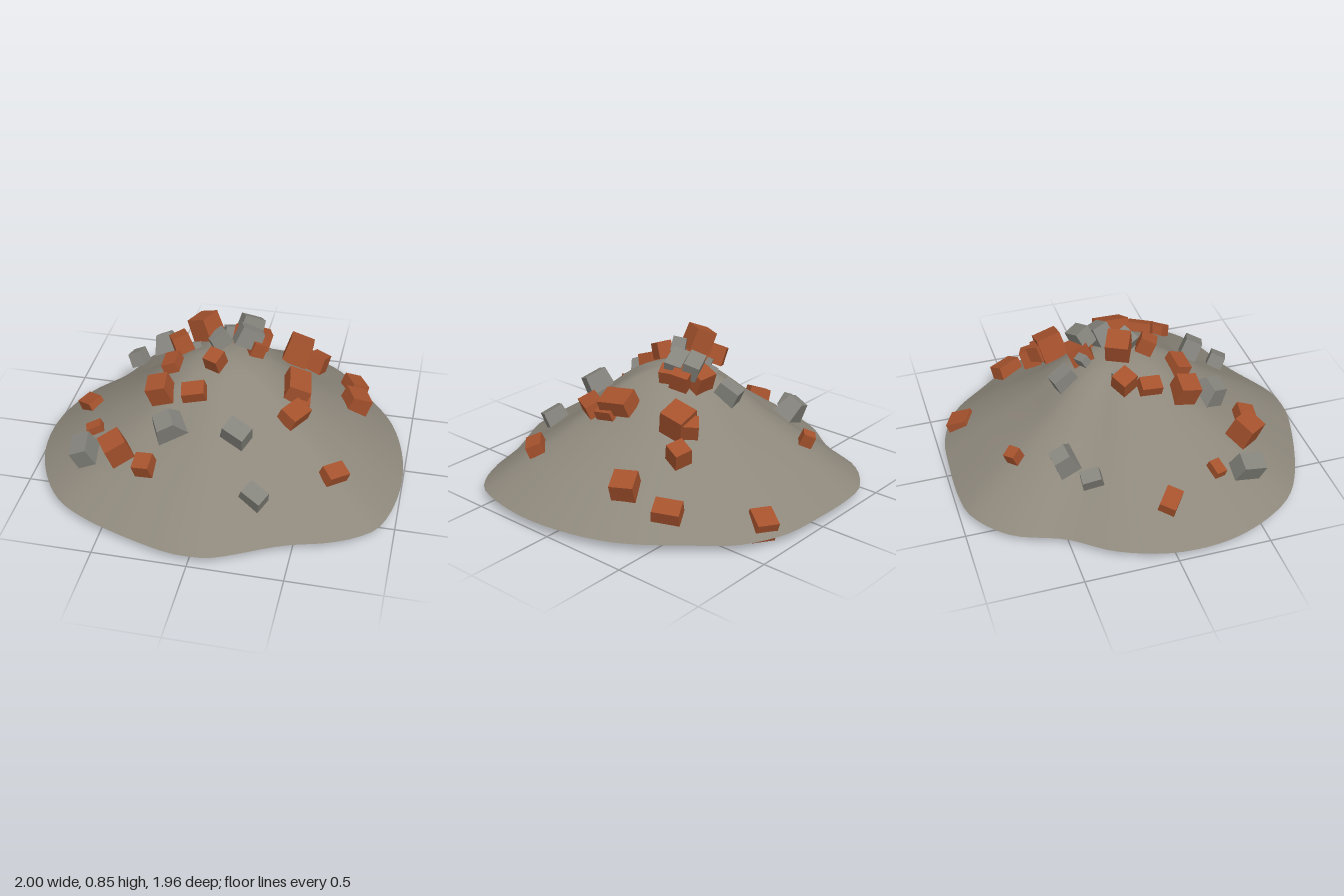
import * as THREE from 'three';

const mat = (name, color) => {
  const m = new THREE.MeshStandardMaterial({ color });
  m.name = name;
  return m;
};

// Footprint of the heap as [x, z] points
const OUTLINE = [
  [0, .98], [.12, .965], [.46, .8], [.68, .73], [.83, .65], [.925, .55], [1, .14], [.9, -.33],
  [.65, -.68], [.5, -.845], [.26, -.957], [.02, -.98], [-.26, -.98], [-.41, -.95], [-.61, -.79],
  [-.73, -.52], [-.89, -.3], [-.99, 0], [-.97, .33], [-.8, .66], [-.61, .8], [-.13, .968],
];
// Height at equal steps from the peak to the rim
const PROFILE = [.64, .63, .6, .545, .47, .39, .318, .25, .185, .118, .05];
const SEGMENTS = 96, RINGS = 30;

// Debris lists: x, y, z, longest side, turn about the vertical
const CUBES = [
  [.31, .085, -.84, .125, -.5], [-.29, .30, -.68, .07, .7], [.68, .24, -.25, .13, .45],
  [.44, .385, -.40, .10, -.3], [.34, .51, -.31, .14, .05], [.33, .49, -.38, .09, .7],
  [-.485, .335, .545, .13, .6], [-.315, .285, .60, .10, -.1], [-.31, .54, .26, .12, .05],
  [-.04, .68, .13, .09, -.4], [-.13, .765, -.055, .125, -.45], [-.27, .635, -.065, .10, .5],
  [.06, .63, -.215, .12, -.1], [.15, .65, -.17, .10, .3], [.15, .65, -.075, .08, .4],
];
const SLABS = [
  [.65, .18, -.505, .15, -1.1], [.395, .53, .06, .18, 1.75], [.41, .47, .235, .15, 1.07],
  [.43, .47, .11, .11, 1.7], [.66, .26, .425, .13, .75], [-.78, .215, .025, .13, -.65],
  [-.67, .27, .315, .09, .3], [-.12, .57, .285, .13, .15], [-.29, .59, .07, .12, 1.57],
];
const CHUNKS = [
  [-.60, .31, -.345, .11, 1.5], [-.045, .55, -.335, .13, 1.8], [-.03, .64, -.225, .07, .5],
  [.09, .71, -.20, .13, .4], [.10, .70, -.095, .14, .3], [-.04, .735, .01, .11, .6],
  [-.19, .62, -.08, .05, .5], [.145, .465, .455, .14, -.4], [.28, .235, .665, .13, -.45],
  [-.68, .25, .49, .15, 1.65],
];
const WEDGES = [[-.46, .36, -.46, .16, .1], [-.23, .435, .43, .19, .4]];

// The rim runs round the footprint once
function rimPoints() {
  const corners = OUTLINE.map(([x, z]) => new THREE.Vector3(x, 0, z));
  return new THREE.CatmullRomCurve3(corners, true).getSpacedPoints(SEGMENTS).slice(0, -1);
}

// Smooth mound: the footprint shrunk ring by ring towards the peak
function moundGeometry(rim) {
  const profile = new THREE.SplineCurve(PROFILE.map((y, i) => new THREE.Vector2(i / 10, y)));
  const pos = [0, PROFILE[0], 0], index = [];
  for (let r = 1; r <= RINGS; r++) {
    const p = profile.getPoint(r / RINGS);
    for (const q of rim) pos.push(q.x * p.x, p.y, q.z * p.x);
  }
  for (let i = 0; i < SEGMENTS; i++) {
    const j = (i + 1) % SEGMENTS;
    index.push(0, 1 + i, 1 + j);
    for (let r = 0; r < RINGS - 1; r++) {
      const a = 1 + r * SEGMENTS, b = a + SEGMENTS;
      index.push(a + i, b + i, b + j, a + i, b + j, a + j);
    }
  }
  const g = new THREE.BufferGeometry();
  g.setAttribute('position', new THREE.Float32BufferAttribute(pos, 3));
  g.setIndex(index);
  g.computeVertexNormals();
  return g;
}

// Flat underside at rim height
function undersideGeometry(rim) {
  const shape = new THREE.Shape(rim.map(p => new THREE.Vector2(p.x, p.z)));
  return new THREE.ShapeGeometry(shape).rotateX(Math.PI / 2).translate(0, PROFILE.at(-1), 0);
}

// Broken block with its top narrowed by the taper
function blockGeometry([w, h, d], taper) {
  const box = new THREE.BoxGeometry(w, h, d);
  const p = box.attributes.position;
  for (let i = 0; i < p.count; i++) {
    if (p.getY(i) > 0) p.setXYZ(i, p.getX(i) * taper, p.getY(i), p.getZ(i) * (taper + 1) / 2);
  }
  const g = box.toNonIndexed();
  g.computeVertexNormals();
  return g;
}

// Scattered pieces of one kind, each leaning down the slope
function scatter(name, list, material, proportions, taper, lean) {
  const group = new THREE.Group();
  group.name = name + 's';
  const geometry = blockGeometry(proportions, taper);
  const up = new THREE.Vector3(0, 1, 0);
  list.forEach(([x, y, z, size, turn], i) => {
    const m = new THREE.Mesh(geometry, material);
    m.name = `${name}${i + 1}`;
    m.position.set(x, y, z);
    m.scale.setScalar(size);
    const axis = new THREE.Vector3(z, 0, -x).normalize();
    m.quaternion.setFromAxisAngle(axis, lean)
      .multiply(new THREE.Quaternion().setFromAxisAngle(up, turn));
    group.add(m);
  });
  return group;
}

export function createModel() {
  const dust = mat('dust', 0x8e887c);
  const brick = mat('brick red', 0xa5522d);
  const concrete = mat('concrete grey', 0x84837c);
  const model = new THREE.Group();
  model.name = 'rubbleHeap';

  const rim = rimPoints();
  const mound = new THREE.Mesh(moundGeometry(rim), dust);
  mound.name = 'mound';
  const underside = new THREE.Mesh(undersideGeometry(rim), dust);
  underside.name = 'underside';

  model.add(
    mound, underside,
    scatter('cubeBrick', CUBES, brick, [1, 1, 1], .94, .4),
    scatter('slabBrick', SLABS, brick, [1, .5, .7], .94, .4),
    scatter('concreteChunk', CHUNKS, concrete, [1, .75, .7], .9, .5),
    scatter('concreteWedge', WEDGES, concrete, [1, .7, .75], .5, .6),
  );
  return model;
}
